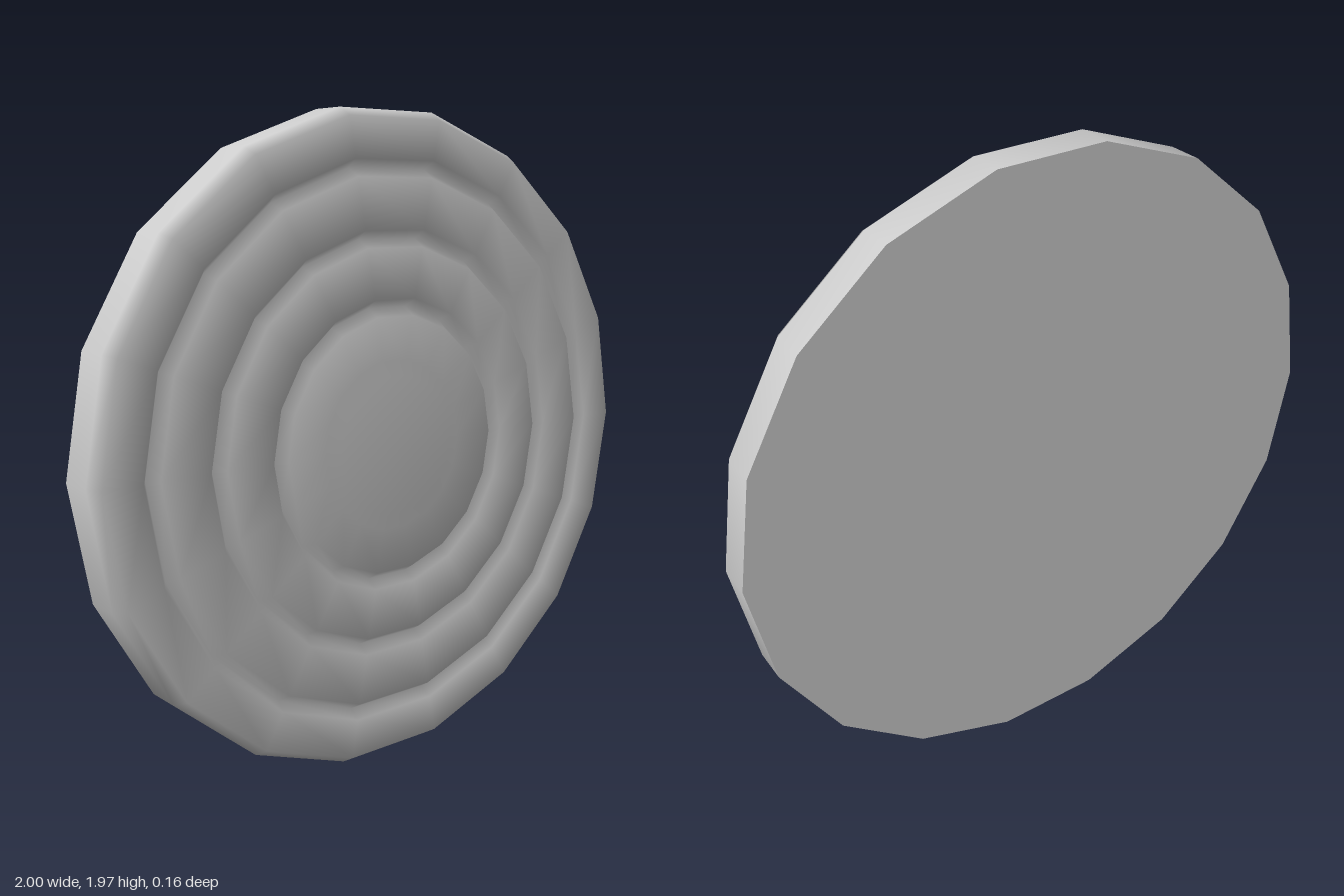
import * as THREE from 'three';

const SIDES = 18;
const BACK = -0.08;   // rear plane
const FACE = 0.07;    // height of the ring tops
const GROOVE = 0.03;  // bottom of the grooves
const CENTRE_Y = Math.cos(Math.PI / SIDES);

export function createModel() {
  const group = new THREE.Group();
  group.name = 'roundTarget';
  const material = new THREE.MeshStandardMaterial({ color: 0xcccccc });

  // Turn a profile of [radius, depth] points around the z axis
  const addTurned = (name, profile) => {
    const points = profile.map(([r, z]) => new THREE.Vector2(r, z));
    const geometry = new THREE.LatheGeometry(points, SIDES, Math.PI / 2);
    geometry.rotateX(Math.PI / 2);
    const mesh = new THREE.Mesh(geometry, material);
    mesh.name = name;
    mesh.position.y = CENTRE_Y;
    group.add(mesh);
  };

  // Rim wall, bevel, and concentric rings split by V grooves
  const front = [[1, BACK], [1, 0.03], [0.975, FACE]];
  for (const r of [0.83, 0.625, 0.42]) {
    front.push([r + 0.025, FACE], [r, GROOVE], [r - 0.025, FACE]);
  }
  // Slightly raised bullseye
  front.push([0.26, 0.065], [0.215, 0.08], [0, 0.08]);
  addTurned('ringedFace', front);

  // Flat back with a hard edge
  addTurned('backPlate', [[0, BACK], [1, BACK]]);

  return group;
}
